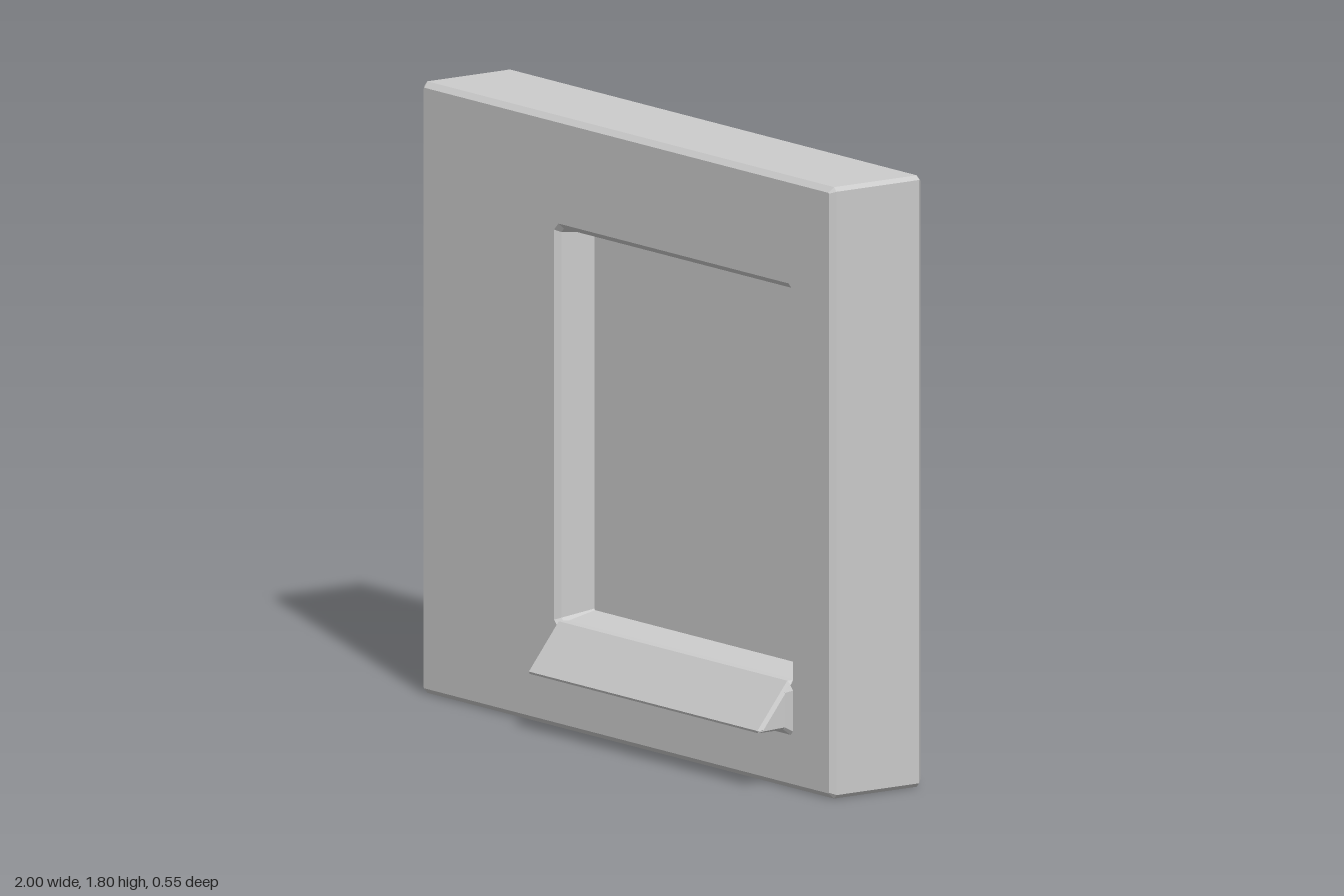
import * as THREE from 'three';

const material = new THREE.MeshStandardMaterial({ color: 0xcccccc, flatShading: true });

// Rectangle with cut corners, counter-clockwise
function cutRect(x0, x1, y0, y1, c) {
  return [[x0 + c, y0], [x1 - c, y0], [x1, y0 + c], [x1, y1 - c],
    [x1 - c, y1], [x0 + c, y1], [x0, y1 - c], [x0, y0 + c]].map(p => new THREE.Vector2(...p));
}

// Extrusion whose chamfers stay inside the given outline and depth (centred on z)
function chamferExtrude(shape, depth, bevel) {
  const geo = new THREE.ExtrudeGeometry(shape, {
    depth: depth - 2 * bevel, bevelEnabled: true, bevelSegments: 1,
    bevelSize: bevel, bevelThickness: bevel, bevelOffset: -bevel,
  });
  return geo.translate(0, 0, -depth / 2 + bevel);
}

// Side walls between two loops at different depths, closed by a cap on the second
function loftAndCap(a, za, b, zb) {
  const pos = [];
  const put = (p, z) => pos.push(p.x, p.y, z);
  for (let i = 0; i < a.length; i++) {
    const j = (i + 1) % a.length;
    put(a[i], za); put(a[j], za); put(b[j], zb);
    put(a[i], za); put(b[j], zb); put(b[i], zb);
    if (i > 0 && j > 0) { put(b[0], zb); put(b[i], zb); put(b[j], zb); }
  }
  const geo = new THREE.BufferGeometry();
  geo.setAttribute('position', new THREE.Float32BufferAttribute(pos, 3));
  geo.computeVertexNormals();
  return geo;
}

function add(parent, name, geometry) {
  const mesh = new THREE.Mesh(geometry, material);
  mesh.name = name;
  parent.add(mesh);
}

const WINDOW_X = 0.23;

// One face of the window, centred on its own x = 0 and facing +z
function windowFace(name) {
  const face = new THREE.Group();
  face.name = name;

  // Tapered reveal with the flat pane at its end
  add(face, 'recessAndPane', loftAndCap(
    cutRect(-0.565, 0.565, 0.313, 1.475, 0.012), 0.15,
    cutRect(-0.54, 0.54, 0.34, 1.46, 0.004), 0.05));

  // Sloping sill: profile in z and y, extruded along x
  const profile = new THREE.Shape([[0.14, 0.175], [0.272, 0.175], [0.275, 0.182],
    [0.167, 0.318], [0.14, 0.318]].map(p => new THREE.Vector2(...p)));
  add(face, 'sill', chamferExtrude(profile, 1.13, 0.01).rotateY(-Math.PI / 2));

  // Flared joint between sill and wall
  add(face, 'sillFlare', loftAndCap(
    cutRect(-0.581, 0.581, 0.159, 0.305, 0.012), 0.164,
    cutRect(-0.565, 0.565, 0.175, 0.293, 0.008), 0.182));
  return face;
}

export function createModel() {
  const model = new THREE.Group();
  model.name = 'wallWithWindow';

  // Chamfered wall slab with the window opening
  const wall = new THREE.Shape(cutRect(-1, 1, 0, 1.805, 0.012));
  wall.holes.push(new THREE.Path(
    cutRect(WINDOW_X - 0.565, WINDOW_X + 0.565, 0.313, 1.475, 0.012).reverse()));
  add(model, 'wall', chamferExtrude(wall, 0.33, 0.016));

  // The same window face on both sides
  ['frontWindow', 'backWindow'].forEach((name, i) => {
    const face = windowFace(name);
    face.position.x = WINDOW_X;
    face.rotation.y = i * Math.PI;
    model.add(face);
  });
  return model;
}
